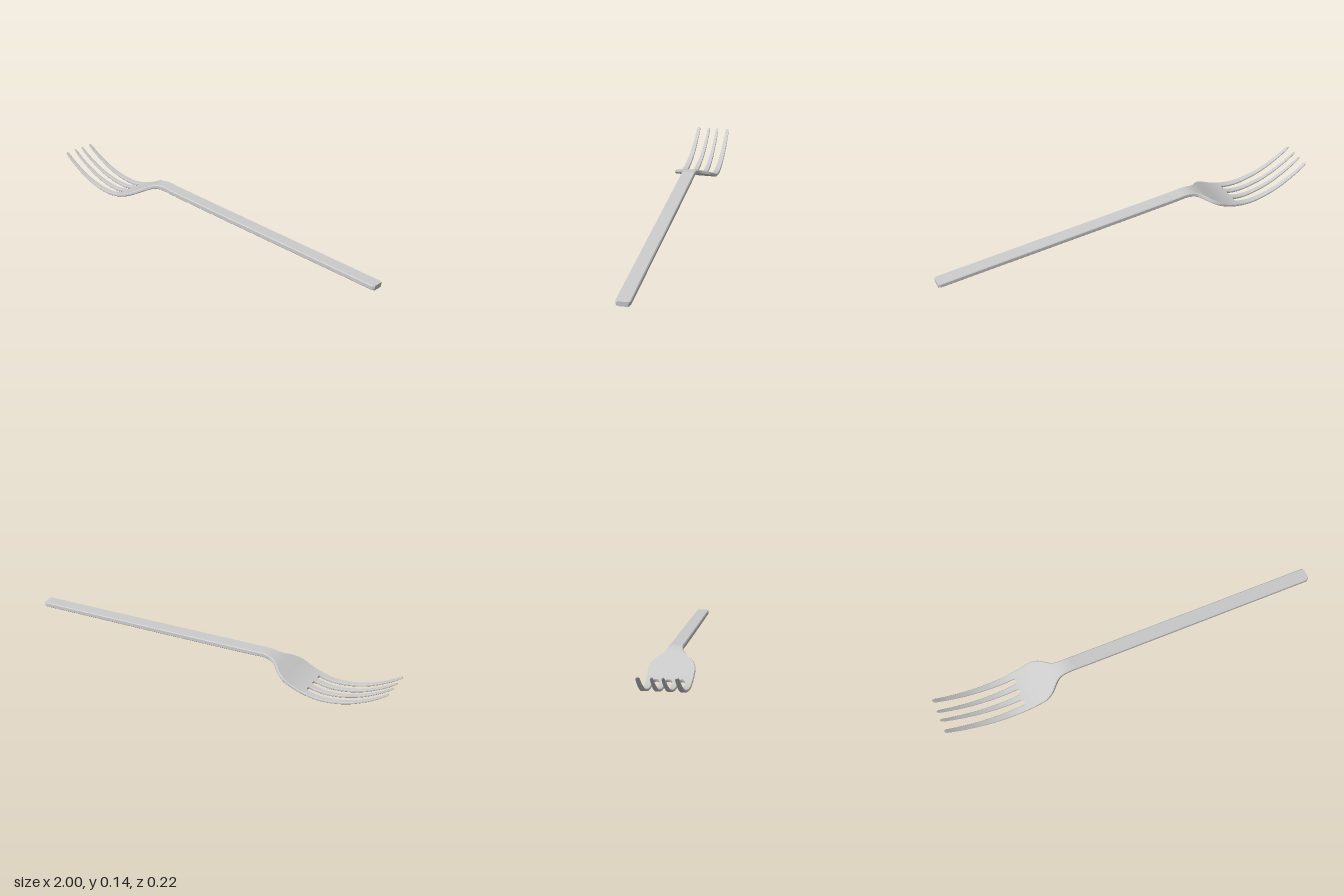
import * as THREE from 'three';
import { toCreasedNormals } from 'three/addons/utils/BufferGeometryUtils.js';

// Smooth function of x through [x, value] pairs
function profile(pairs) {
  const f = new THREE.CubicInterpolant(pairs.map(p => p[0]), pairs.map(p => p[1]), 1, [0]);
  return x => f.evaluate(x)[0];
}

// Side profile: height of the mid-surface and its thickness
const midHeight = profile([
  [-1, 0.14], [-0.95, 0.104], [-0.9, 0.075], [-0.85, 0.05], [-0.8, 0.031], [-0.75, 0.018],
  [-0.7, 0.0095], [-0.65, 0.0075], [-0.6, 0.014], [-0.55, 0.027], [-0.5, 0.047], [-0.45, 0.072],
  [-0.4, 0.096], [-0.36, 0.108], [-0.32, 0.1105], [-0.27, 0.1055], [-0.22, 0.1015], [1, 0.014],
]);
const thickness = profile([
  [-1, 0.006], [-0.9, 0.009], [-0.8, 0.011], [-0.6, 0.014], [-0.5, 0.016],
  [-0.4, 0.02], [-0.32, 0.023], [-0.2, 0.024], [1, 0.024],
]);
const halfWidth = profile([
  [-0.585, 0.107], [-0.54, 0.108], [-0.5, 0.109], [-0.483, 0.108], [-0.46, 0.1], [-0.44, 0.088],
  [-0.42, 0.07], [-0.405, 0.056], [-0.39, 0.045], [-0.37, 0.038], [-0.34, 0.035], [-0.3, 0.034],
  [-0.2, 0.034], [0.97, 0.034], [0.985, 0.034], [0.994, 0.031], [1, 0.025],
]);

const range = (a, b, n) => Array.from({ length: n }, (_, i) => a + (b - a) * i / n);

// Bevelled bar following the side profile, with z limits from edges(x)
function sweep(xs, edges) {
  const pos = [], index = [], last = xs.length - 1;
  for (const x of xs) {
    const [lo, hi] = edges(x);
    const h = thickness(x) / 2, y = midHeight(x), e = 0.002;
    const x0 = Math.max(-1, x - e), x1 = Math.min(1, x + e);
    const angle = Math.atan2(midHeight(x1) - midHeight(x0), x1 - x0);
    const b = Math.min(0.004, h * 0.45, (hi - lo) * 0.3);
    const section = [
      [h, hi - b], [h - b, hi], [b - h, hi], [-h, hi - b],
      [-h, lo + b], [b - h, lo], [h - b, lo], [h, lo + b],
    ];
    for (const [n, z] of section) pos.push(x - n * Math.sin(angle), y + n * Math.cos(angle), z);
  }
  for (let i = 0; i < last; i++) {
    for (let k = 0; k < 8; k++) {
      const a = i * 8 + k, b = i * 8 + (k + 1) % 8;
      index.push(a, b, b + 8, a, b + 8, a + 8);
    }
  }
  // End caps
  const o = last * 8;
  for (let k = 1; k < 7; k++) index.push(0, k + 1, k, o, o + k, o + k + 1);
  const geo = new THREE.BufferGeometry();
  geo.setAttribute('position', new THREE.Float32BufferAttribute(pos, 3));
  geo.setIndex(index);
  return toCreasedNormals(geo, 0.6);
}

export function createModel() {
  const group = new THREE.Group();
  const steel = new THREE.MeshStandardMaterial({ color: 0xcccccc });
  const add = (name, geo) => {
    const mesh = new THREE.Mesh(geo, steel);
    mesh.name = name;
    group.add(mesh);
  };

  // Palm, neck and handle in one continuous piece
  const bodyXs = [...range(-0.585, -0.2, 48), ...range(-0.2, 0.98, 8), ...range(0.98, 1, 6), 1];
  add('handleAndPalm', sweep(bodyXs, x => [-halfWidth(x), halfWidth(x)]));

  // Tines: z limits at the tip, at the slot end, and where the slot closes
  const tines = [
    { name: 'innerTine', tip: [0.017, 0.031], base: [0.015, 0.044], root: [0, 0.058] },
    { name: 'outerTine', tip: [0.074, 0.092], base: [0.072, 0.106], root: [0.058, 0.107] },
  ];
  const tineXs = [...range(-1, -0.98, 5), ...range(-0.98, -0.6, 22), ...range(-0.6, -0.585, 7), -0.585];
  for (const { name, tip, base, root } of tines) {
    const edges = x => {
      const t = Math.min(1, (x + 1) / 0.4);
      const u = THREE.MathUtils.clamp((x + 0.6) / 0.015, 0, 1);
      const close = 1 - Math.sqrt(1 - u * u); // rounded slot end
      const v = Math.max(0, (-0.98 - x) / 0.02);
      const narrow = 0.35 + 0.65 * Math.sqrt(Math.max(0, 1 - v * v)); // rounded tip
      const z = [0, 1].map(i => {
        const side = THREE.MathUtils.lerp(tip[i], base[i], t);
        return THREE.MathUtils.lerp(side, root[i], close);
      });
      const mid = (z[0] + z[1]) / 2, half = (z[1] - z[0]) / 2 * narrow;
      return [mid - half, mid + half];
    };
    add(name + 'Front', sweep(tineXs, edges));
    add(name + 'Back', sweep(tineXs, x => {
      const [lo, hi] = edges(x);
      return [-hi, -lo];
    }));
  }
  return group;
}
